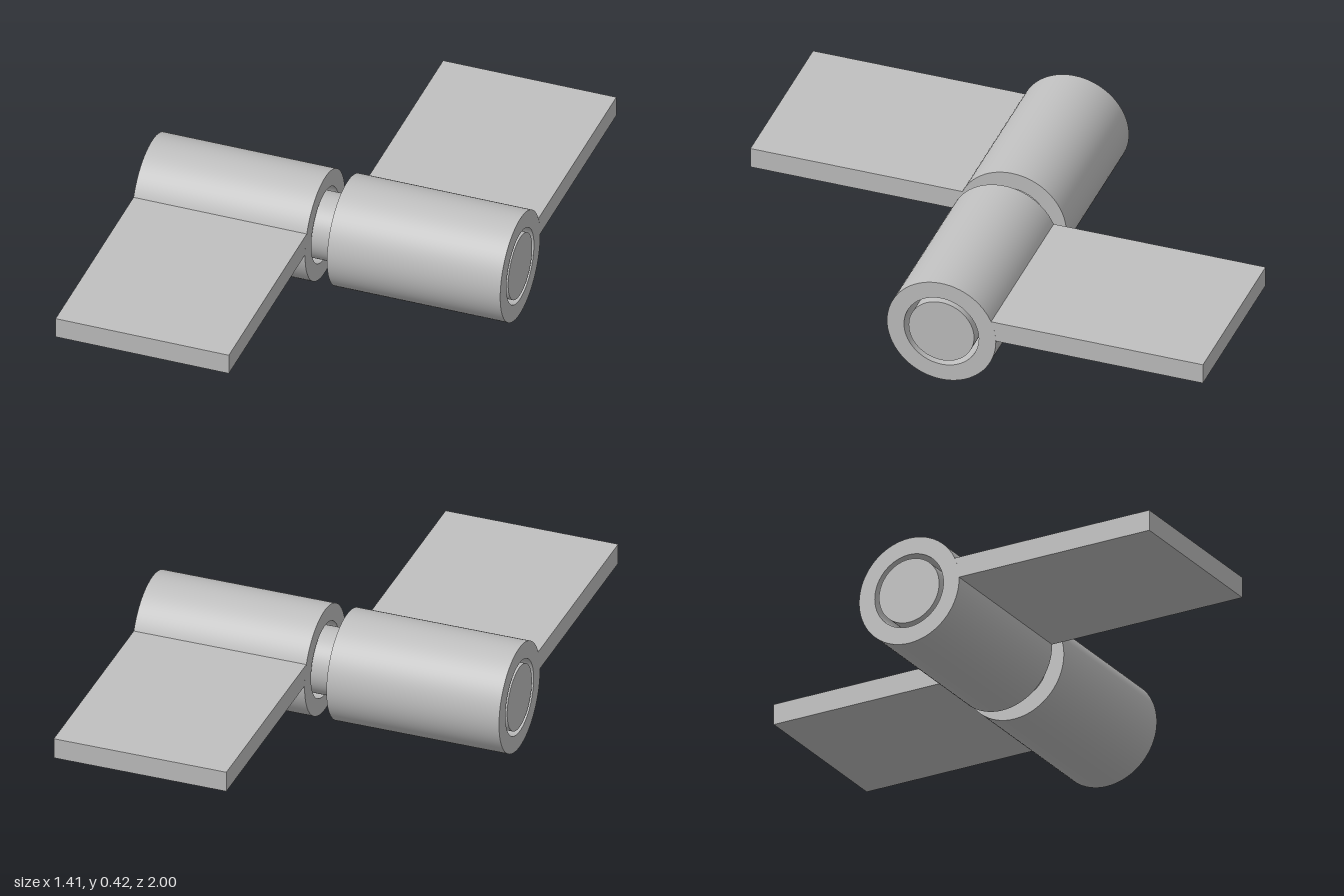
import * as THREE from 'three';
import { toCreasedNormals } from 'three/addons/utils/BufferGeometryUtils.js';

const R = 0.208;          // barrel radius, also the axis height
const BORE = 0.143;
const PIN = 0.125;
const END = 0.706;        // outer end of each barrel
const GAP = 0.042;        // half the space between the barrels
const LEN = END - GAP;

export function createModel() {
  const model = new THREE.Group();
  model.name = 'hinge';
  const steel = new THREE.MeshStandardMaterial({ color: 0xc0c0c0 });
  steel.name = 'steel grey';

  const add = (parent, name, geometry) => {
    const mesh = new THREE.Mesh(geometry, steel);
    mesh.name = name;
    parent.add(mesh);
    return mesh;
  };

  // Hollow barrel along x, starting at x = 0
  const ring = [[BORE, 0], [R, 0], [R, LEN], [BORE, LEN], [BORE, 0]]
    .map(([x, y]) => new THREE.Vector2(x, y));
  const barrelGeometry = toCreasedNormals(new THREE.LatheGeometry(ring, 72), 0.6);
  barrelGeometry.rotateZ(-Math.PI / 2);

  // Flat leaf whose inner edge follows the barrel's curve
  const low = 0.005, high = 0.085;
  const profile = new THREE.Shape();
  profile.moveTo(1, low);
  profile.lineTo(1, high);
  profile.lineTo(Math.sqrt(R * R - high * high), high);
  profile.absarc(0, 0, R, Math.asin(high / R), Math.asin(low / R), true);
  profile.closePath();
  const leafGeometry = new THREE.ExtrudeGeometry(profile,
    { depth: LEN, bevelEnabled: false, curveSegments: 8 });
  leafGeometry.rotateY(Math.PI / 2);

  // Two halves: the second is the first turned half round the y axis
  for (const [side, turn] of [['left', 0], ['right', Math.PI]]) {
    const half = new THREE.Group();
    half.name = side + 'Half';
    add(half, side + 'Barrel', barrelGeometry).position.x = GAP;
    add(half, side + 'Leaf', leafGeometry).position.x = GAP;
    half.position.y = R;
    half.rotation.y = turn;
    model.add(half);
  }

  // Pin running through both barrels, flush with their ends
  const pin = add(model, 'pin', new THREE.CylinderGeometry(PIN, PIN, END * 2, 64));
  pin.rotation.z = Math.PI / 2;
  pin.position.y = R;

  return model;
}
